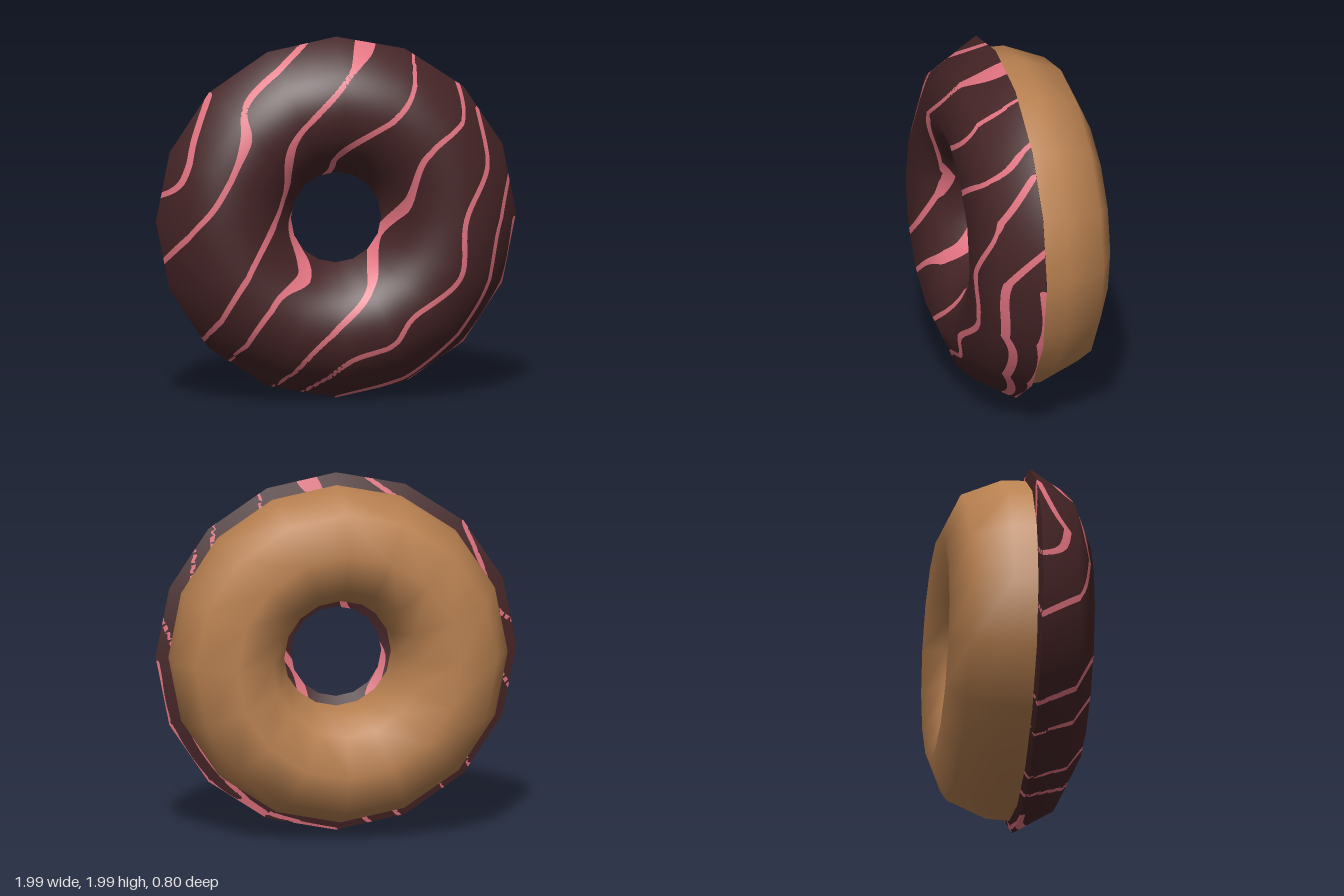
import * as THREE from 'three';

const SIDES = 16, CENTRE_Y = 0.995;

// Drizzle centre lines across the face, as curves through a few x, y points
const DRIZZLE = [
  [[-1, 1.12], [-.88, 1.22], [-.8, 1.46], [-.7, 1.7]],
  [[-1, .7], [-.85, .94], [-.7, 1.13], [-.55, 1.45], [-.52, 1.68], [-.16, 1.97]],
  [[-.74, .33], [-.57, .67], [-.33, 1.1], [-.28, 1.46], [-.02, 1.74], [.19, 2]],
  [[-.61, .19], [-.39, .57], [-.2, .72], [-.25, .98], [-.05, 1.24], [-.01, 1.38], [.34, 1.63], [.43, 1.88]],
  [[-.36, .05], [-.12, .35], [.13, .59], [.22, .88], [.36, 1.09], [.45, 1.36], [.67, 1.54], [.67, 1.74]],
  [[-.2, .02], [.03, .23], [.27, .32], [.38, .48], [.64, .68], [.67, 1], [.8, 1.28], [.78, 1.58]],
  [[0, 0], [.43, .14], [.77, .52], [.87, .95], [.98, 1.25]],
  [[.4, .08], [.7, .29], [.92, .63], [.985, .97]],
].map(line => new THREE.SplineCurve(line.map(p => new THREE.Vector2(...p))).getPoints(line.length * 8));

// Spots where the drizzle pools: x, y, extra half width
const POOLS = [[-.55, 1.48, .016], [.17, 1.95, .055], [-.2, .72, .028], [.19, .75, .01], [-.27, 1.37, .01], [.31, 1.08, .01]];

// The drizzle thins towards the rim and swells at the pools
function drizzleHalfWidth(x, y) {
  const base = 0.019 - 0.007 * (x * x + (y - CENTRE_Y) ** 2);
  return POOLS.reduce((w, [px, py, extra]) => w + extra * Math.exp(-((x - px) ** 2 + (y - py) ** 2) / 0.01), base);
}

// Below zero inside a drizzle line, above zero on the icing
function drizzleField(x, y) {
  let best = Infinity;
  for (const pts of DRIZZLE) for (let i = 0; i < pts.length - 1; i++) {
    const a = pts[i], b = pts[i + 1], dx = b.x - a.x, dy = b.y - a.y;
    const t = THREE.MathUtils.clamp(((x - a.x) * dx + (y - a.y) * dy) / (dx * dx + dy * dy), 0, 1);
    best = Math.min(best, Math.hypot(x - a.x - t * dx, y - a.y - t * dy));
  }
  return best - drizzleHalfWidth(x, y);
}

const plain = () => 1;
const mix = (a, b, t) => a.map((v, i) => v + (b[i] - v) * t);

// Smooth profile normals (r, z), averaged where two segments meet
function profileNormals(profile) {
  const seg = profile.slice(1).map(([r, z], i) => new THREE.Vector2(profile[i][1] - z, r - profile[i][0]).normalize());
  return profile.map((_, i) => {
    const n = new THREE.Vector2();
    if (seg[i - 1]) n.add(seg[i - 1]);
    if (seg[i]) n.add(seg[i]);
    return n.normalize().toArray();
  });
}

// Sweep a profile round a 16-sided ring; each facet is subdivided.
// A vertex is [x, y, z, nx, ny, nz, field].
function ringTriangles(profile, around, along, field) {
  const normals = profileNormals(profile), rows = [], tris = [];
  const corner = (i, k) => {
    const a = k / SIDES * Math.PI * 2, c = Math.cos(a), s = Math.sin(a);
    const [r, z] = profile[i], [nr, nz] = normals[i];
    return [r * c, CENTRE_Y + r * s, z, nr * c, nr * s, nz];
  };
  for (let u = 0; u <= (profile.length - 1) * along; u++) {
    const i = Math.min(Math.floor(u / along), profile.length - 2), t = u / along - i, row = [];
    for (let v = 0; v <= SIDES * around; v++) {
      const k = Math.floor(v / around), s = v / around - k;
      const p = mix(mix(corner(i, k), corner(i + 1, k), t), mix(corner(i, k + 1), corner(i + 1, k + 1), t), s);
      p.push(field(p[0], p[1]));
      row.push(p);
    }
    rows.push(row);
  }
  for (let u = 0; u < rows.length - 1; u++) for (let v = 0; v < SIDES * around; v++) {
    const a = rows[u][v], b = rows[u + 1][v], c = rows[u + 1][v + 1], d = rows[u][v + 1];
    tris.push([a, b, c], [a, c, d]);
  }
  return tris;
}

// Keep the part of each triangle whose field has the given sign
function clip(tris, sign) {
  const out = [];
  for (const tri of tris) {
    const poly = [];
    tri.forEach((p, i) => {
      const q = tri[(i + 1) % 3], fp = p[6] * sign, fq = q[6] * sign;
      if (fp >= 0) poly.push(p);
      if ((fp >= 0) !== (fq >= 0)) poly.push(mix(p, q, fp / (fp - fq)));
    });
    for (let i = 1; i < poly.length - 1; i++) out.push([poly[0], poly[i], poly[i + 1]]);
  }
  return out;
}

function toMesh(name, tris, material) {
  const verts = tris.flat(), geo = new THREE.BufferGeometry();
  geo.setAttribute('position', new THREE.Float32BufferAttribute(verts.flatMap(p => p.slice(0, 3)), 3));
  geo.setAttribute('normal', new THREE.Float32BufferAttribute(verts.flatMap(p => p.slice(3, 6)), 3));
  const mesh = new THREE.Mesh(geo, material);
  mesh.name = name;
  return mesh;
}

export function createModel() {
  const material = (name, color) => Object.assign(new THREE.MeshStandardMaterial({ color }), { name });
  const dough = material('dough', 0xb88050);
  const chocolate = material('chocolate icing', 0x452426);
  const pink = material('pink drizzle', 0xe0727f);

  const group = new THREE.Group();
  group.name = 'doughnut';

  // Dough: the rounded back half, from outer rim to hole
  const doughProfile = [[.93, .06], [.925, -.08], [.835, -.3], [.62, -.4], [.405, -.3], [.31, -.08], [.3, .06]];
  group.add(toMesh('doughRing', ringTriangles(doughProfile, 1, 1, plain), dough));

  // Icing: the front shell, plus the lips that overhang the dough
  const icingProfile = [[.25, .07], [.375, .29], [.62, .4], [.865, .29], [.997, .07]];
  const icing = ringTriangles(icingProfile, 14, 12, drizzleField);
  const lips = [[[.997, .07], [.925, .05]], [[.31, .05], [.25, .07]]]
    .flatMap(profile => ringTriangles(profile, 14, 3, drizzleField));
  const shell = icing.concat(lips);
  group.add(toMesh('icing', clip(shell, 1), chocolate));
  group.add(toMesh('drizzle', clip(shell, -1), pink));
  return group;
}
